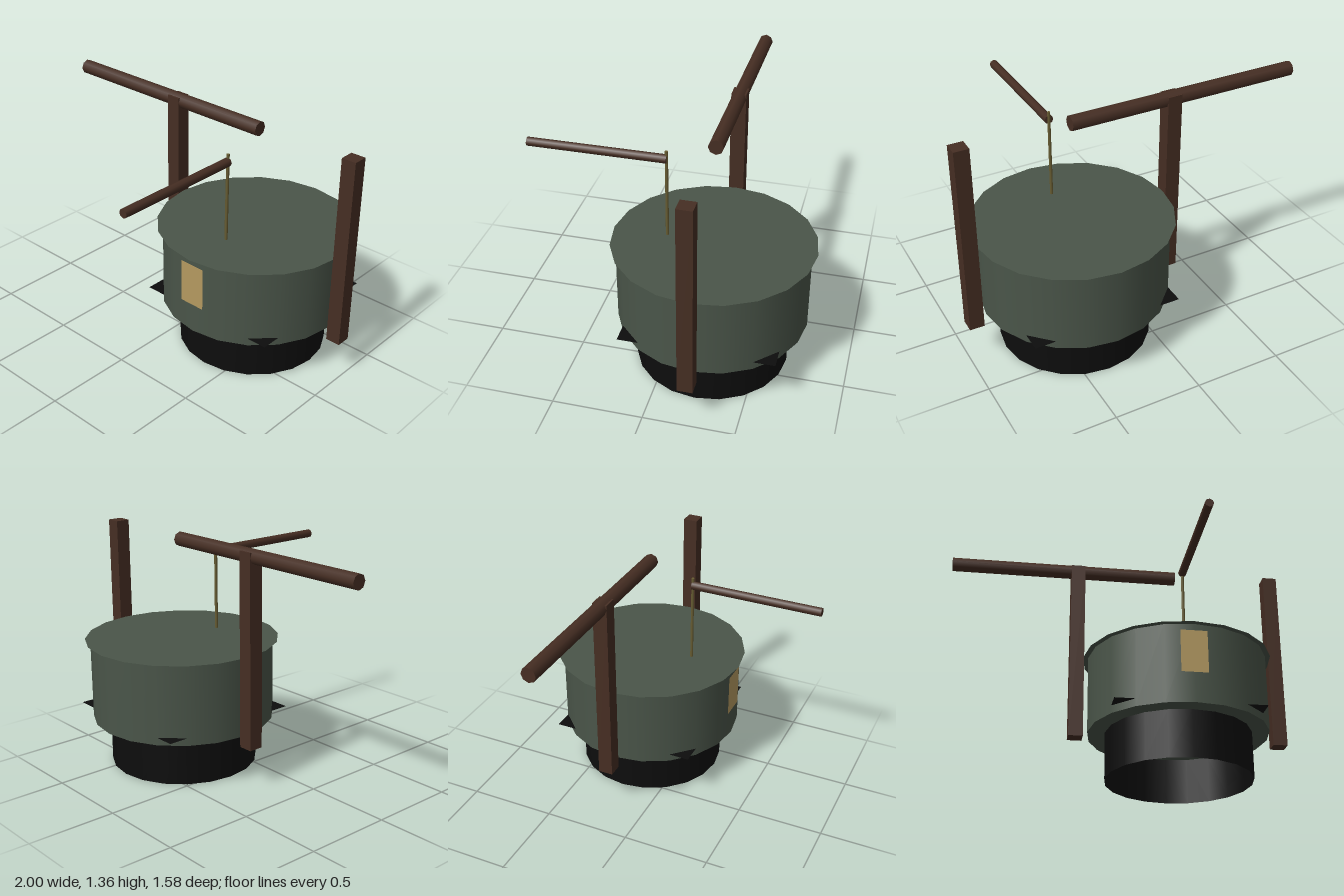
import * as THREE from 'three';

const mat = (name, color, side = THREE.FrontSide) => {
  const m = new THREE.MeshStandardMaterial({ color, side });
  m.name = name;
  return m;
};

export function createModel() {
  const group = new THREE.Group();
  const green = mat('dull green', 0x4a5549, THREE.DoubleSide);
  const black = mat('soot black', 0x0d0d0d, THREE.DoubleSide);
  const wood = mat('dark wood', 0x462e23);
  const brass = mat('old brass', 0x675c32);
  const paper = mat('aged paper', 0xb59a60, THREE.DoubleSide);

  const CX = 0.36, CZ = -0.232; // vertical axis of the drum

  const add = (name, geometry, material, x, y, z) => {
    const mesh = new THREE.Mesh(geometry, material);
    mesh.name = name;
    mesh.position.set(x, y, z);
    group.add(mesh);
    return mesh;
  };

  // Open black base, closed above by the underside of the drum
  add('base', new THREE.CylinderGeometry(0.427, 0.427, 0.275, 20, 1, true), black, CX, 0.1375, CZ);
  add('drum', new THREE.CylinderGeometry(0.528, 0.528, 0.465, 20), green, CX, 0.5075, CZ);

  // Flat lid overhanging the drum
  add('lid', new THREE.CircleGeometry(0.558, 20).rotateX(-Math.PI / 2), green, CX, 0.742, CZ);

  // Square sheet whose corners pierce the drum wall
  add('cornerPlate', new THREE.PlaneGeometry(0.855, 0.855).rotateX(-Math.PI / 2), black, CX, 0.32, CZ);

  // Posts on both sides of the drum
  for (const [side, name] of [[-1, 'rightPost'], [1, 'leftPost']]) {
    add(name, new THREE.BoxGeometry(0.084, 1.105, 0.084), wood, CX + side * 0.598, 0.7875, -0.232);
  }

  // Octagonal beam across the right post
  add('beam', new THREE.CylinderGeometry(0.042, 0.042, 1.36, 8).rotateZ(Math.PI / 2), wood, -0.32, 1.313, -0.232);

  // Handle pointing forward, and the thin rod that carries it
  add('handle', new THREE.CylinderGeometry(0.025, 0.025, 0.765, 8).rotateX(Math.PI / 2), wood, CX, 1.21, 0.4075);
  add('rod', new THREE.CylinderGeometry(0.009, 0.009, 0.525, 8), brass, CX, 0.9925, 0.027);

  // Notice on the front of the drum
  add('notice', new THREE.PlaneGeometry(0.152, 0.25), paper, CX, 0.574, 0.3);

  return group;
}
